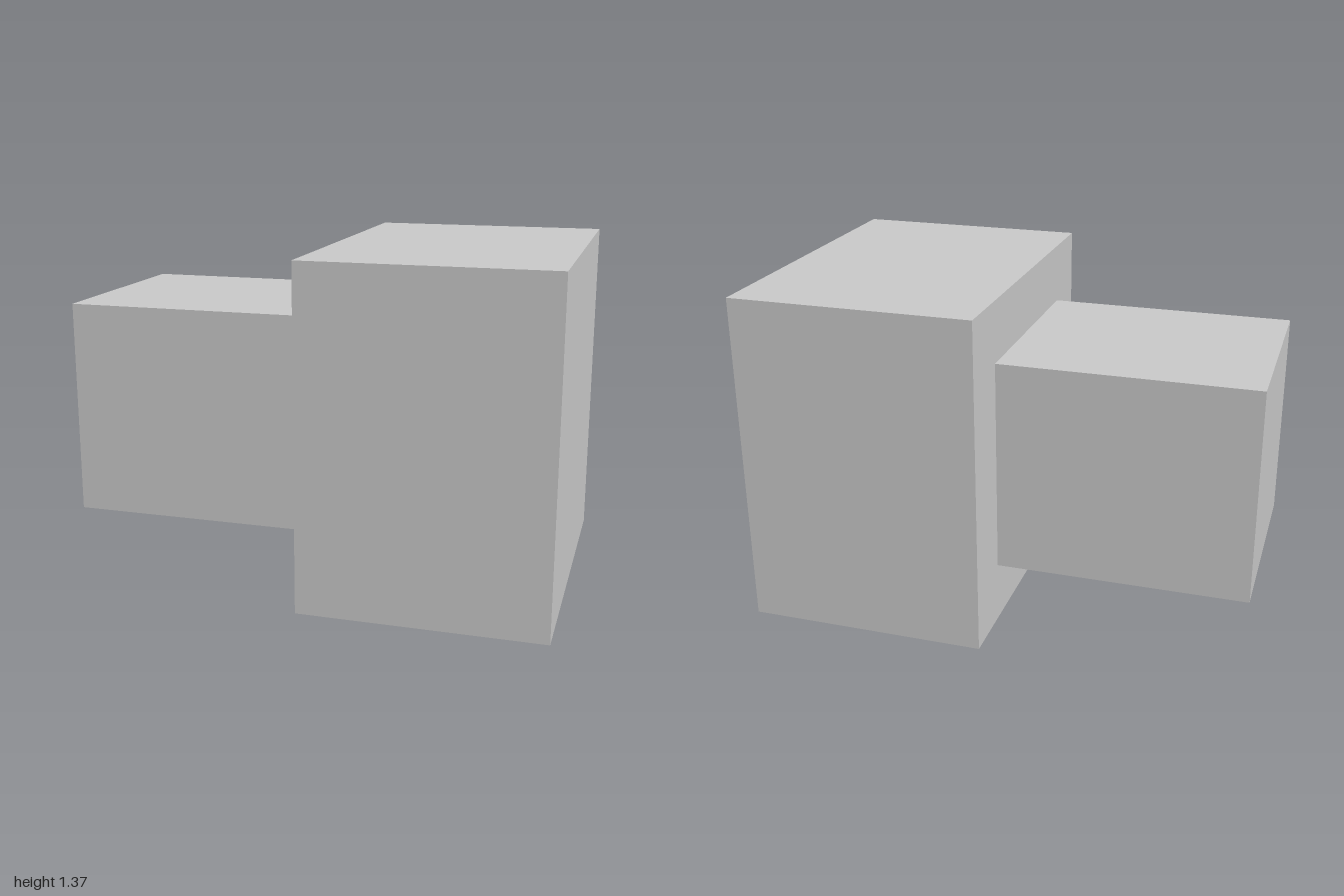
import * as THREE from 'three';

const material = new THREE.MeshStandardMaterial({ color: 0xcccccc, flatShading: true });

// Box spanning x0..x1 with a square section centred on the shared axis
function block(name, x0, x1, size, axisY) {
  const mesh = new THREE.Mesh(new THREE.BoxGeometry(x1 - x0, size, size), material);
  mesh.name = name;
  mesh.position.set((x0 + x1) / 2, axisY, 0);
  return mesh;
}

export function createModel() {
  const group = new THREE.Group();
  group.name = 'steppedBlock';
  const headSize = 1.366, stemSize = 0.872, joint = 0.022;
  const axisY = headSize / 2;

  // Wide head on the +x side, narrower stem butting against it
  group.add(block('head', joint, 1, headSize, axisY));
  group.add(block('stem', -1, joint, stemSize, axisY));
  return group;
}
